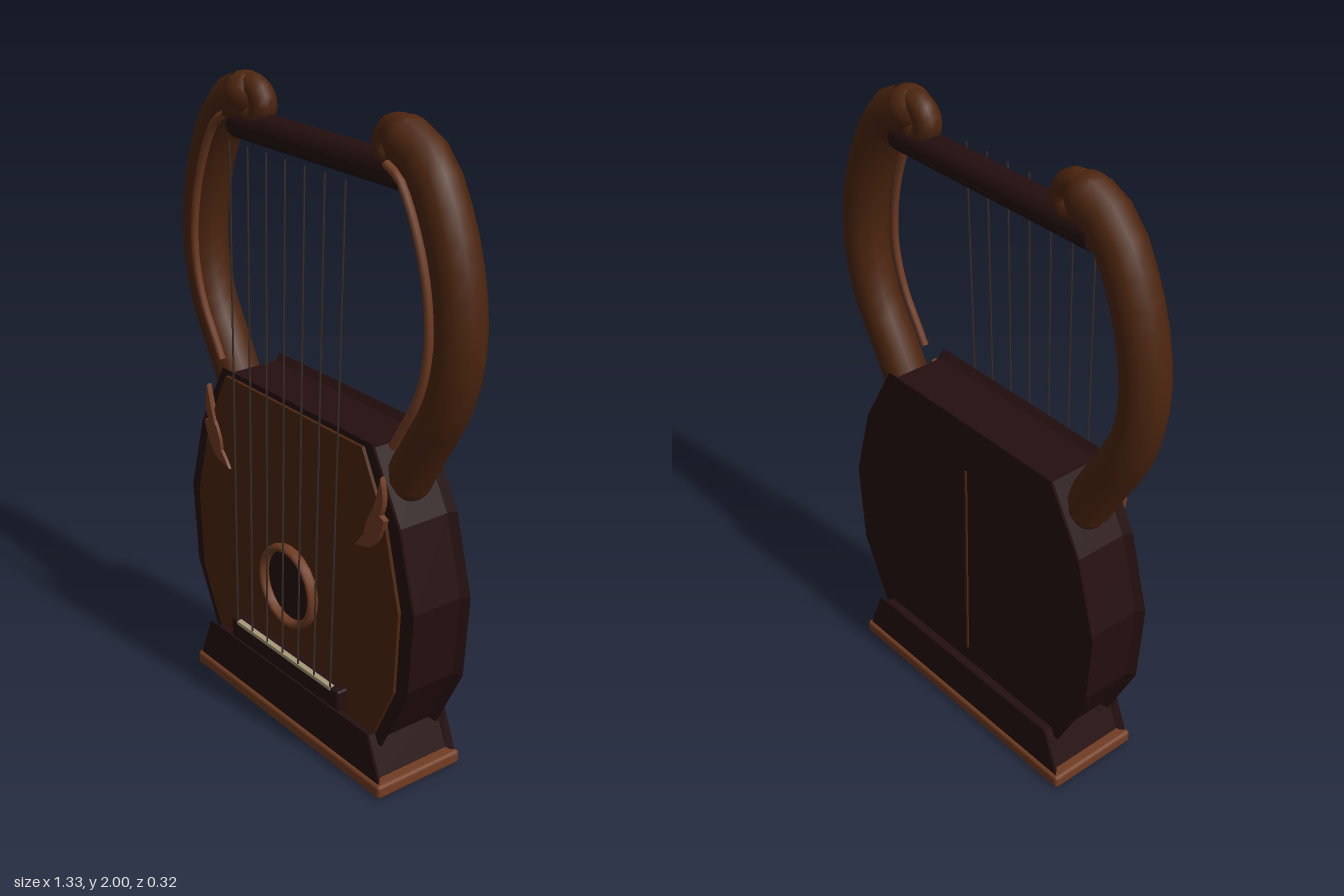
import * as THREE from 'three';
import { RoundedBoxGeometry } from 'three/addons/geometries/RoundedBoxGeometry.js';

const paint = (name, color) => {
  const m = new THREE.MeshStandardMaterial({ color });
  m.name = name;
  return m;
};

export function createModel() {
  const root = new THREE.Group();
  root.name = 'lyre';
  const dark = paint('dark wood', 0x250f0f);
  const brown = paint('brown wood', 0x4c250f);
  const light = paint('light wood trim', 0x713c22);
  const ivory = paint('ivory', 0xa89878);
  const wire = paint('string wire', 0x3a2f29);

  const add = (name, geo, mat, x = 0, y = 0, z = 0, parent = root) => {
    const mesh = new THREE.Mesh(geo, mat);
    mesh.name = name;
    mesh.position.set(x, y, z);
    parent.add(mesh);
    return mesh;
  };
  const v = (x, y, z = 0) => new THREE.Vector3(x, y, z);

  // Symmetric outline from its right half, listed bottom to top
  const symmetric = half => new THREE.Shape([
    ...half.map(([x, y]) => new THREE.Vector2(x, y)),
    ...half.slice().reverse().map(([x, y]) => new THREE.Vector2(-x, y)),
  ]);
  // Slab with sides slightly recessed between its flared front and back edges
  const flaredSlab = (half, z, lip, inset) => new THREE.ExtrudeGeometry(symmetric(half), {
    depth: 2 * (z - lip), bevelEnabled: true, bevelSegments: 1,
    bevelThickness: lip, bevelSize: -inset,
  }).translate(0, 0, lip - z);

  // Sound box and front board
  add('soundBox', flaredSlab(
    [[0.43, 0.14], [0.54, 0.36], [0.56, 0.63], [0.49, 0.88], [0.365, 1.1]], 0.107, 0.022, 0.02), dark);
  add('soundBoard', new THREE.ExtrudeGeometry(symmetric(
    [[0.405, 0.18], [0.49, 0.36], [0.505, 0.63], [0.44, 0.88], [0.335, 1.083]]),
  { depth: 0.012, bevelEnabled: false }), brown, 0, 0, 0.106);
  add('backSeam', new THREE.BoxGeometry(0.007, 0.7, 0.008), brown, 0, 0.58, -0.109);

  // Flared foot with a light trim under it
  add('base', flaredSlab([[0.475, 0.035], [0.412, 0.192]], 0.15, 0.02, 0.02), dark);
  add('baseTrim', new RoundedBoxGeometry(0.97, 0.045, 0.32, 2, 0.012), light, 0, 0.0225, 0);

  // Sound hole
  add('soundHole', new THREE.CircleGeometry(0.122, 24), dark, 0, 0.5, 0.122);
  const ring = new THREE.TorusGeometry(0.125, 0.013, 8, 24);
  ring.scale(1, 1, 1.6);
  add('soundHoleRing', ring, light, 0, 0.5, 0.13);

  // Bridge and saddle
  add('bridge', new RoundedBoxGeometry(0.56, 0.068, 0.042, 2, 0.008), dark, 0, 0.235, 0.135);
  add('saddle', new THREE.BoxGeometry(0.49, 0.012, 0.018), ivory, 0, 0.266, 0.15);

  // Crossbar
  const bar = new THREE.CylinderGeometry(0.048, 0.048, 0.81, 12);
  bar.rotateZ(Math.PI / 2);
  add('crossbar', bar, dark, 0, 1.843, 0);

  // Strings, slightly fanned
  for (let i = -3; i <= 3; i++) {
    const path = new THREE.LineCurve3(v(i * 0.081, 0.265, 0.156), v(i * 0.0895, 1.83, 0.128));
    add('string', new THREE.TubeGeometry(path, 1, 0.003, 6), wire);
  }

  for (const s of [1, -1]) {
    const side = new THREE.Group();
    side.name = s > 0 ? 'leftArm' : 'rightArm';
    root.add(side);
    const curve = pts => new THREE.CatmullRomCurve3(pts.map(([x, y]) => v(s * x, y)));

    // Curved arm with rounded ends
    const arm = curve([[0.405, 0.985], [0.475, 1.11], [0.56, 1.26], [0.598, 1.42],
      [0.583, 1.6], [0.525, 1.77], [0.45, 1.89], [0.365, 1.935]]);
    add('arm', new THREE.TubeGeometry(arm, 14, 0.071, 10), brown, 0, 0, 0.003, side);
    for (const t of [0, 1]) {
      const p = arm.getPoint(t);
      add('armEnd', new THREE.SphereGeometry(t ? 0.067 : 0.07, 12, 8), brown, p.x, p.y, 0.003, side);
    }

    // Scroll curling down onto the crossbar
    const curl = curve([[0.37, 1.955], [0.32, 1.958], [0.283, 1.93], [0.283, 1.895],
      [0.312, 1.875], [0.34, 1.885]]);
    add('scroll', new THREE.TubeGeometry(curl, 12, 0.041, 10), brown, 0, 0, 0, side);
    const tip = curl.getPoint(1);
    add('scrollEnd', new THREE.SphereGeometry(0.04, 10, 8), brown, tip.x, tip.y, 0, side);

    // Light bead along the inner front edge of the arm
    const bead = [];
    for (let i = 0; i <= 12; i++) {
      const t = 0.1 + 0.88 * i / 12;
      const p = arm.getPointAt(t), d = arm.getTangentAt(t);
      bead.push(v(p.x - s * d.y * 0.047, p.y + s * d.x * 0.047, 0.074));
    }
    add('armBead', new THREE.TubeGeometry(new THREE.CatmullRomCurve3(bead), 24, 0.013, 6),
      light, 0, 0, 0, side);

    // Leaf ornament at the shoulder
    const leaf = new THREE.Shape();
    leaf.moveTo(s * 0.428, 1.025);
    leaf.quadraticCurveTo(s * 0.452, 0.95, s * 0.425, 0.91);
    leaf.lineTo(s * 0.447, 0.9);
    leaf.quadraticCurveTo(s * 0.425, 0.815, s * 0.375, 0.79);
    leaf.lineTo(s * 0.318, 0.778);
    leaf.lineTo(s * 0.343, 0.808);
    leaf.lineTo(s * 0.36, 0.825);
    leaf.quadraticCurveTo(s * 0.36, 0.87, s * 0.395, 0.915);
    leaf.quadraticCurveTo(s * 0.412, 0.96, s * 0.428, 1.025);
    add('leafOrnament', new THREE.ExtrudeGeometry(leaf, {
      depth: 0.008, curveSegments: 6, bevelSize: 0.003, bevelThickness: 0.005, bevelSegments: 1,
    }), light, 0, 0, 0.114, side);
  }
  return root;
}
